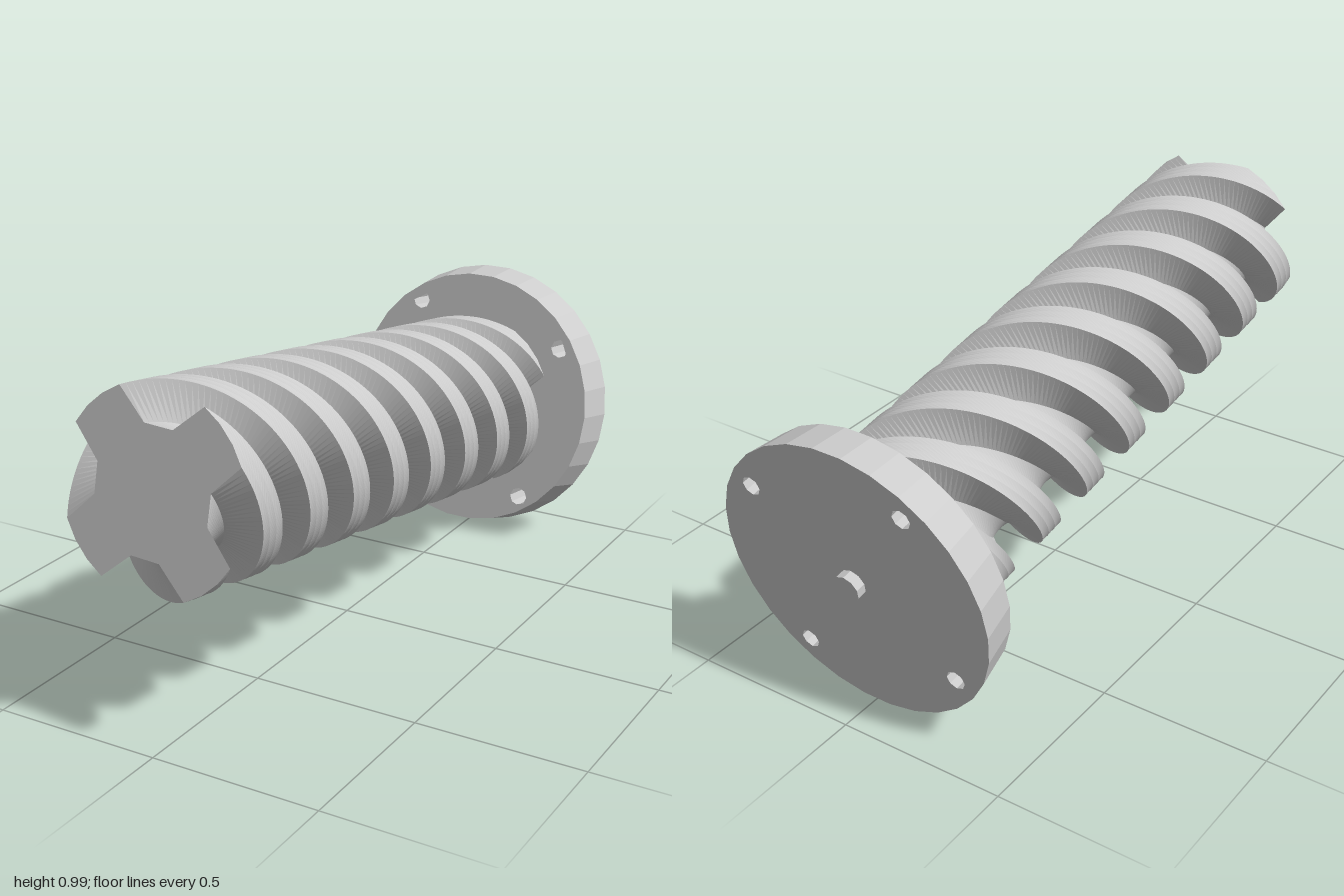
import * as THREE from 'three';

const TILT = THREE.MathUtils.degToRad(9);
const FLANGE_DEPTH = 0.123, BACK_RADIUS = 0.43, FRONT_RADIUS = 0.41;
const SCREW_LENGTH = 1.79, SCREW_RADIUS = 0.28, FLOOR_RADIUS = 0.177, TURNS = 2;

const polar = (r, deg) => {
  const a = THREE.MathUtils.degToRad(deg);
  return new THREE.Vector2(r * Math.cos(a), r * Math.sin(a));
};
const polygon = (r, sides, cx = 0, cy = 0) =>
  Array.from({ length: sides }, (_, i) => polar(r, (i * 360) / sides).add(new THREE.Vector2(cx, cy)));

// Tapered mounting disc with four through holes
function flangeGeometry() {
  const shape = new THREE.Shape(polygon(BACK_RADIUS, 30));
  for (let i = 0; i < 4; i++) {
    const c = polar(0.365, 35 + 90 * i);
    shape.holes.push(new THREE.Path(polygon(0.029, 8, c.x, c.y)));
  }
  const geo = new THREE.ExtrudeGeometry(shape, { depth: FLANGE_DEPTH, bevelEnabled: false });
  const p = geo.attributes.position;
  for (let i = 0; i < p.count; i++) {
    const x = p.getX(i), y = p.getY(i);
    if (p.getZ(i) > FLANGE_DEPTH / 2 && Math.hypot(x, y) > 0.41) {
      const k = FRONT_RADIUS / BACK_RADIUS;
      p.setXY(i, x * k, y * k);
    }
  }
  geo.computeVertexNormals();
  return geo;
}

// Four-lobed section, extruded and twisted along its length
function screwGeometry() {
  const points = [];
  for (let i = 0; i < 4; i++) {
    const base = 90 * i;
    for (const a of [24, 36, 48, 60]) points.push(polar(SCREW_RADIUS, base + a));
    for (const a of [73, 101]) points.push(polar(FLOOR_RADIUS, base + a));
  }
  const geo = new THREE.ExtrudeGeometry(new THREE.Shape(points), {
    depth: SCREW_LENGTH, steps: 240, bevelEnabled: false,
  });
  const p = geo.attributes.position;
  for (let i = 0; i < p.count; i++) {
    const a = (p.getZ(i) / SCREW_LENGTH) * TURNS * Math.PI * 2;
    const x = p.getX(i), y = p.getY(i), c = Math.cos(a), s = Math.sin(a);
    p.setXY(i, x * c - y * s, x * s + y * c);
  }
  geo.computeVertexNormals();
  return geo;
}

export function createModel() {
  const grey = new THREE.MeshStandardMaterial({ color: 0xcccccc, flatShading: true });
  grey.name = 'plain grey';

  const model = new THREE.Group();
  model.name = 'twistedScrew';
  const add = (name, geo, z) => {
    const mesh = new THREE.Mesh(geo, grey);
    mesh.name = name;
    mesh.position.z = z;
    model.add(mesh);
  };

  add('flange', flangeGeometry(), 0);
  add('screwShaft', screwGeometry(), FLANGE_DEPTH);

  // Small pivot stub on the back of the flange
  const pin = new THREE.CylinderGeometry(0.042, 0.042, 0.04, 10).rotateX(Math.PI / 2);
  add('backPin', pin, -0.01);

  // The whole screw leans up towards the front
  model.rotation.x = -TILT;
  model.position.set(0, 0.428, -0.9325);
  const root = new THREE.Group();
  root.name = 'model';
  root.add(model);
  return root;
}
